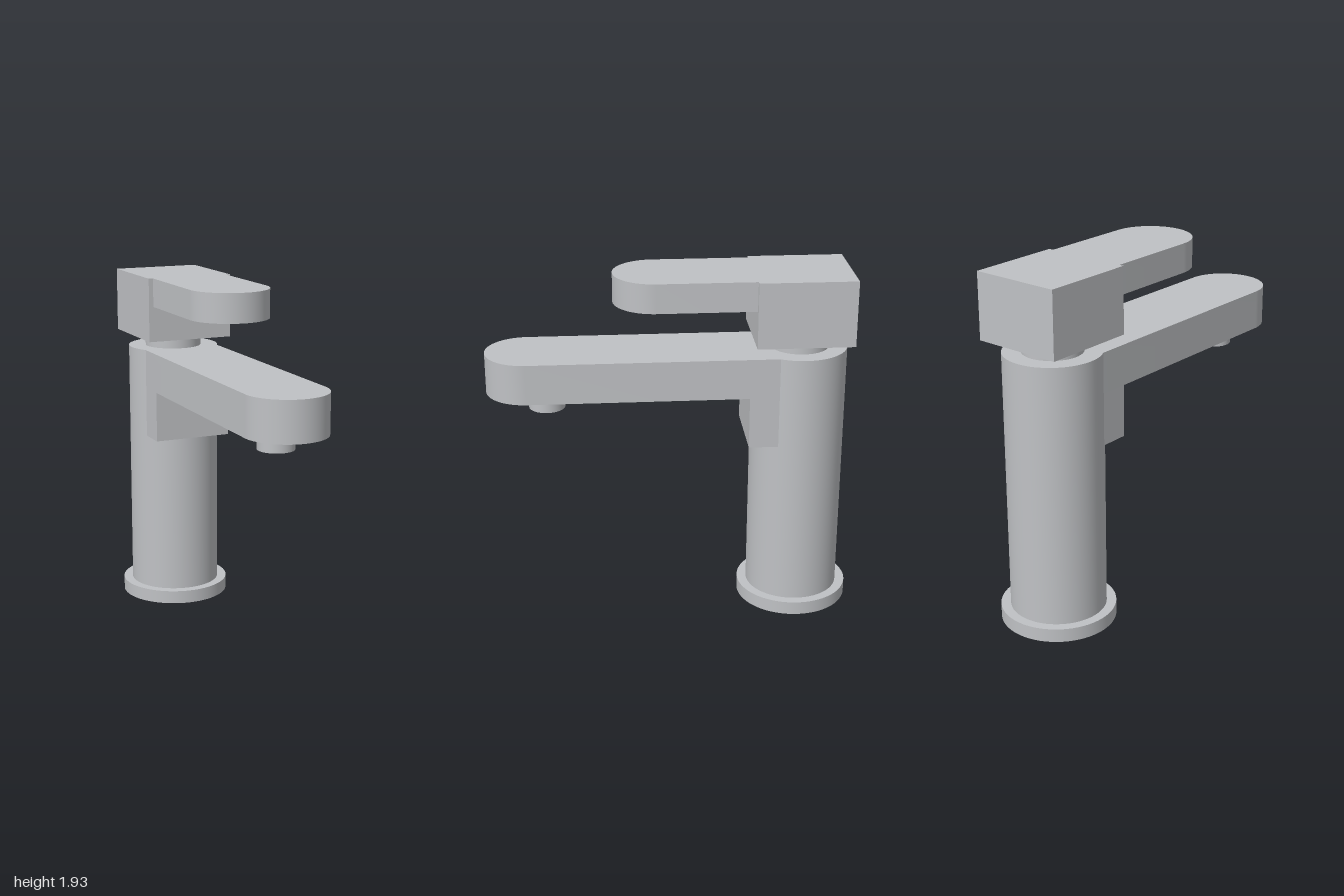
import * as THREE from 'three';
import { toCreasedNormals } from 'three/addons/utils/BufferGeometryUtils.js';

const AXIS_Z = -0.69; // centre line of the column
const HALF_W = 0.222; // half width of spout and lever

export function createModel() {
  const chrome = new THREE.MeshStandardMaterial({ color: 0xc0c2c5 });
  chrome.name = 'satin chrome';
  const tap = new THREE.Group();
  tap.name = 'basinTap';

  const add = (name, geometry) => {
    const mesh = new THREE.Mesh(geometry, chrome);
    mesh.name = name;
    tap.add(mesh);
  };

  // upright cylinder between two heights
  const post = (name, radius, y0, y1, z = AXIS_Z) =>
    add(name, new THREE.CylinderGeometry(radius, radius, y1 - y0, 64).translate(0, (y0 + y1) / 2, z));

  // box between two heights and two depths
  const block = (name, halfW, y0, y1, z0, z1) =>
    add(name, new THREE.BoxGeometry(halfW * 2, y1 - y0, z1 - z0).translate(0, (y0 + y1) / 2, (z0 + z1) / 2));

  // horizontal bar with a half-round front end
  const roundedBar = (name, y0, y1, z0, z1) => {
    const outline = new THREE.Shape();
    outline.moveTo(-HALF_W, z0);
    outline.lineTo(HALF_W, z0);
    outline.lineTo(HALF_W, z1 - HALF_W);
    outline.absarc(0, z1 - HALF_W, HALF_W, 0, Math.PI, false);
    outline.closePath();
    const bar = new THREE.ExtrudeGeometry(outline, { depth: y1 - y0, bevelEnabled: false, curveSegments: 32 });
    bar.rotateX(Math.PI / 2).translate(0, y1, 0);
    add(name, toCreasedNormals(bar, 0.5));
  };

  // column
  post('baseFlange', 0.31, 0, 0.075);
  post('column', 0.258, 0.075, 1.503);
  post('neck', 0.16, 1.503, 1.57);

  // spout with its bracket and outlet
  roundedBar('spout', 1.283, 1.503, -0.65, 1);
  block('spoutBracket', HALF_W, 1, 1.283, -0.65, -0.4);
  post('outlet', 0.098, 1.183, 1.283, 0.676);

  // handle
  block('handleBlock', 0.248, 1.57, 1.927, -0.948, -0.43);
  roundedBar('lever', 1.768, 1.927, -0.43, 0.314);

  return tap;
}
